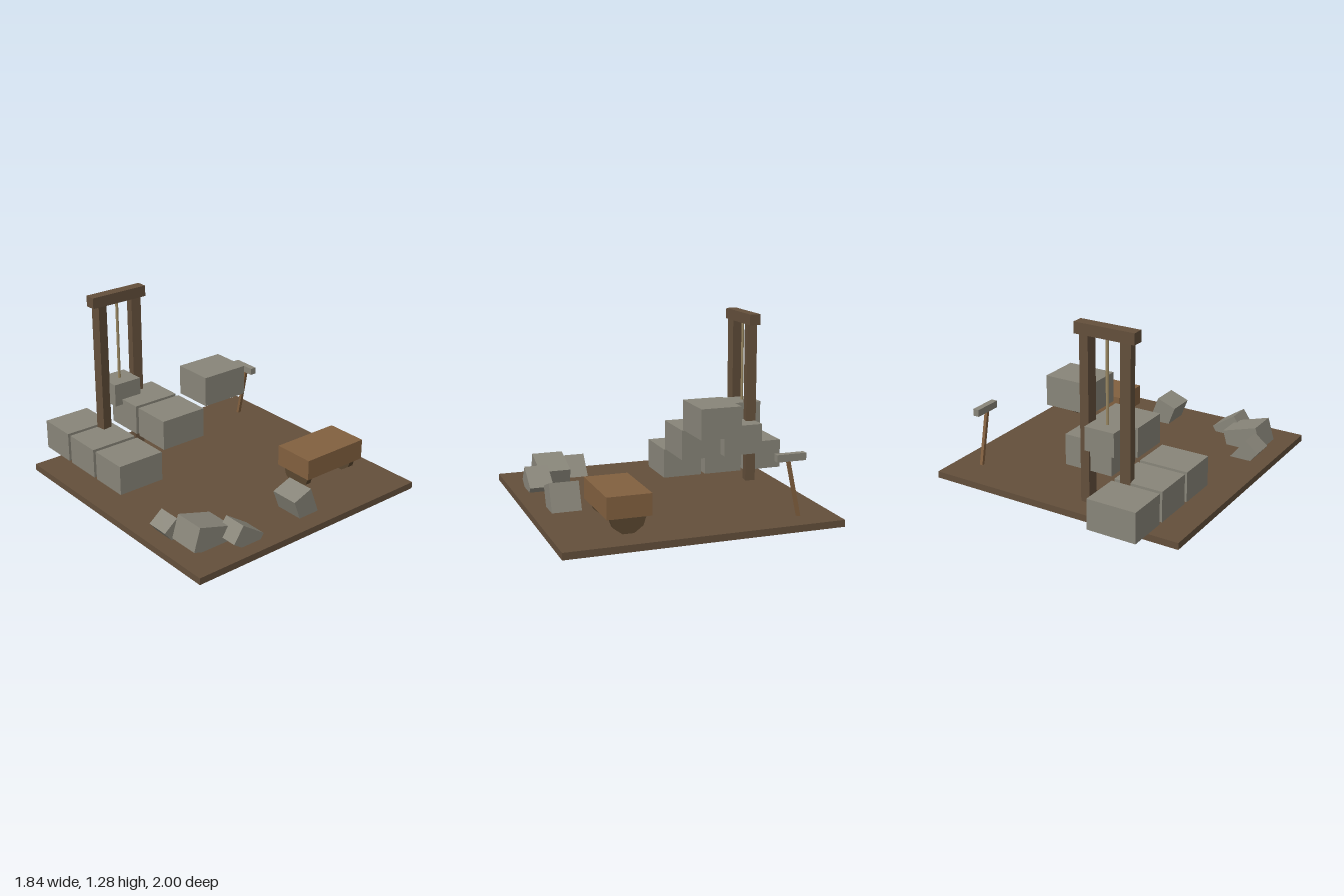
import * as THREE from 'three';

const mat = (name, color) => {
  const m = new THREE.MeshStandardMaterial({ color });
  m.name = name;
  return m;
};

export function createModel() {
  const model = new THREE.Group();
  model.name = 'buildingSite';

  const darkWood = mat('dark wood', 0x634f3b);
  const cartWood = mat('light wood', 0x82603f);
  const wheelWood = mat('wheel wood', 0x59462f);
  const stone = mat('stone', 0x888579);
  const ropeTan = mat('rope tan', 0x9c8a64);

  const add = (name, geometry, material, pos, rot = [0, 0, 0], parent = model) => {
    const mesh = new THREE.Mesh(geometry, material);
    mesh.name = name;
    mesh.position.set(...pos);
    mesh.rotation.set(...rot);
    parent.add(mesh);
    return mesh;
  };
  const box = (w, h, d) => new THREE.BoxGeometry(w, h, d);
  const group = (name) => {
    const g = new THREE.Group();
    g.name = name;
    model.add(g);
    return g;
  };

  // Wooden ground slab
  add('platform', box(1.84, 0.046, 1.84), darkWood, [0, 0.073, 0.08]);

  // Stepped stone blocks: each column is one level higher and one row shorter
  const steps = group('stoneSteps');
  for (let i = 0; i < 3; i++) {
    for (let j = 0; j < 3 - i; j++) {
      add('stoneBlock', box(0.342, 0.208, 0.284), stone,
        [-0.549 + 0.361 * i, 0.209 + 0.218 * i, -0.23 - 0.314 * j], [0, 0, 0], steps);
    }
  }

  // Hoist: two slightly turned posts, beam, rope and hanging block
  const hoist = group('hoist');
  const hz = -0.658;
  for (const s of [-1, 1]) {
    add('post', box(0.07, 1.122, 0.07), darkWood,
      [-0.313 + s * 0.142, 0.655, hz], [0, -s * 0.15, 0], hoist);
  }
  add('beam', box(0.426, 0.075, 0.077), darkWood, [-0.313, 1.252, hz], [0, 0, 0], hoist);
  add('rope', new THREE.CylinderGeometry(0.01, 0.01, 0.57, 6), ropeTan,
    [-0.313, 0.932, hz], [0, 0, 0], hoist);
  add('hangingBlock', box(0.212, 0.16, 0.196), stone, [-0.313, 0.572, hz], [0, 0, 0], hoist);

  // Cart with two faceted wheels
  const cart = group('cart');
  add('cartBody', box(0.5, 0.142, 0.292), cartWood, [0.498, 0.276, 0.533], [0, 0, 0], cart);
  const wheel = new THREE.CylinderGeometry(0.12, 0.12, 0.042, 10).toNonIndexed();
  wheel.computeVertexNormals();
  wheel.rotateZ(Math.PI / 2);
  for (const x of [0.298, 0.698]) {
    add('wheel', wheel, wheelWood, [x, 0.211, 0.533], [0, 0, 0], cart);
  }

  // Mallet leaning upright
  const mallet = group('mallet');
  add('malletHandle', box(0.022, 0.4, 0.022), cartWood,
    [0.737, 0.28, -0.561], [0.21, 0, 0], mallet);
  add('malletHead', box(0.044, 0.048, 0.2), stone, [0.737, 0.489, -0.537], [0, 0, 0], mallet);

  // Tumbled rubble: size, centre, tilt
  const rubble = group('rubble');
  const rocks = [
    [[0.15, 0.235, 0.2], [0.06, 0.143, 0.77], 0.36],
    [[0.121, 0.18, 0.158], [-0.742, 0.129, 0.485], 0.67],
    [[0.258, 0.162, 0.218], [-0.647, 0.155, 0.679], -0.295],
    [[0.2, 0.13, 0.165], [-0.455, 0.135, 0.817], -0.6],
  ];
  for (const [size, pos, tilt] of rocks) {
    add('rubbleStone', box(...size), stone, pos, [0, 0, tilt], rubble);
  }

  return model;
}
